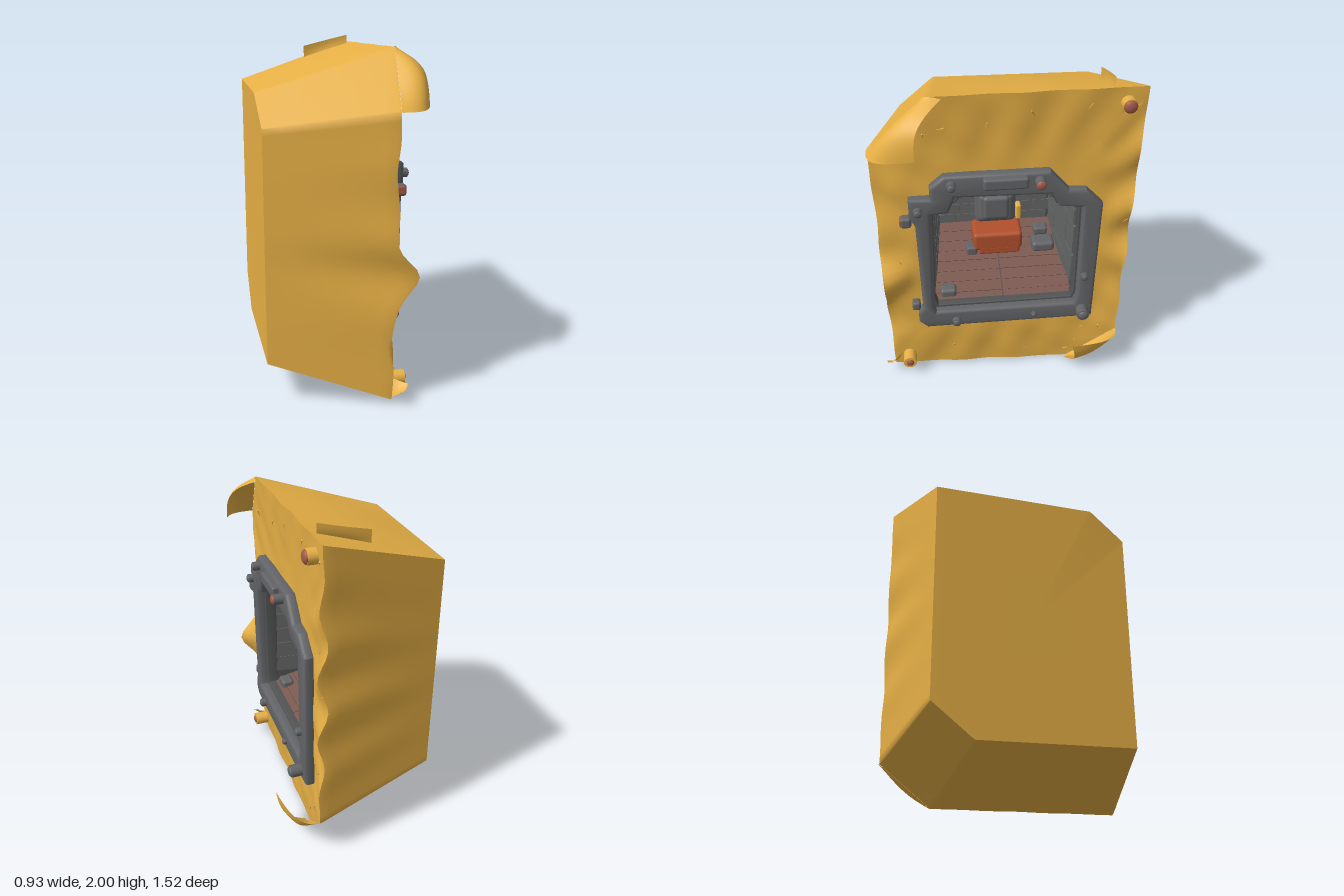
import * as THREE from 'three';
import { toCreasedNormals, mergeGeometries } from 'three/addons/utils/BufferGeometryUtils.js';
import { RoundedBoxGeometry } from 'three/addons/geometries/RoundedBoxGeometry.js';

const material = (name, color, side = THREE.FrontSide) => {
  const m = new THREE.MeshStandardMaterial({ color, side });
  m.name = name;
  return m;
};

// Works in a local frame: x across the window, y up, z out of the window.
export function createModel() {
  const yellow = material('yellow foil', 0xe8b146, THREE.DoubleSide);
  const steel = material('dark steel', 0x636467);
  const wall = material('wall grey', 0x656666, THREE.DoubleSide);
  const seam = material('seam grey', 0x525354, THREE.DoubleSide);
  const rust = material('rust', 0xa25a48);
  const planks = material('floor brown', 0x7a584f);
  const orange = material('seat orange', 0xb2502c);

  const root = new THREE.Group();
  root.name = 'wrappedCabin';
  const body = new THREE.Group();
  body.name = 'cabin';
  body.rotation.y = Math.PI / 2;
  root.add(body);

  let seed = 7;
  const rnd = () => (seed = (seed * 16807) % 2147483647) / 2147483647;
  const V = (x, y, z) => new THREE.Vector3(x, y, z);
  const lerp = THREE.MathUtils.lerp;
  const add = (name, geo, mat, x = 0, y = 0, z = 0) => {
    const m = new THREE.Mesh(geo, mat);
    m.name = name;
    m.position.set(x, y, z);
    body.add(m);
    return m;
  };
  const box = (name, mat, w, h, d, x, y, z, r = 0.015) =>
    add(name, new RoundedBoxGeometry(w, h, d, 2, r), mat, x, y, z);

  // Skin through rows of points, optionally closed around
  const loft = (rows, closed, crease) => {
    const n = rows[0].length, idx = [];
    for (let i = 0; i < rows.length - 1; i++) {
      for (let j = 0; j < (closed ? n : n - 1); j++) {
        const k = (j + 1) % n, a = i * n + j, b = i * n + k;
        idx.push(a, b, b + n, a, b + n, a + n);
      }
    }
    const g = new THREE.BufferGeometry().setFromPoints(rows.flat());
    g.setIndex(idx);
    return toCreasedNormals(g, crease);
  };

  // Distance ray from the window centre to a polygon outline
  const CY = 0.95;
  const rayHit = (poly, ang) => {
    const c = Math.cos(ang), s = Math.sin(ang);
    let best = 0;
    poly.forEach(([x1, y1], i) => {
      const [x2, y2] = poly[(i + 1) % poly.length];
      const ex = x2 - x1, ey = y2 - y1, det = ex * s - ey * c;
      if (Math.abs(det) < 1e-9) return;
      const t = (ex * (y1 - CY) - ey * x1) / det;
      const q = (c * (y1 - CY) - s * x1) / det;
      if (t > 0 && q >= -1e-6 && q <= 1 + 1e-6) best = Math.max(best, t);
    });
    return [c * best, CY + s * best];
  };

  // Foil shell: back panel, tapering sides, crumpled front with a window hole
  const front = [[-0.42, 1.955, 0.29], [-0.74, 1.64, 0.24], [-0.71, 0.025, 0.23],
    [0.42, 0, 0.25], [0.725, 0.25, 0.29], [0.76, 1.955, 0.28]];
  const back = [[-0.36, 1.72, -0.47], [-0.57, 1.55, -0.455], [-0.57, 0.24, -0.45],
    [0.33, 0.21, -0.45], [0.57, 0.4, -0.45], [0.59, 1.72, -0.45]];
  const hole = [[-0.5, 1.3], [-0.45, 1.2], [-0.45, 0.47], [0.5, 0.47], [0.5, 1.25], [0.42, 1.3],
    [0.34, 1.32], [0.25, 1.43], [-0.32, 1.43], [-0.38, 1.31]];
  const around = (loop) => {
    const out = [];
    loop.forEach((p, i) => {
      const q = loop[(i + 1) % loop.length];
      for (let k = 0; k < 36; k++) out.push(V(...p.map((c, a) => lerp(c, q[a], k / 36))));
    });
    return out;
  };
  const F = around(front), B = around(back);
  const bump = (y, c, w) => Math.exp(-(((y - c) / w) ** 2));
  const edge = F.map((p, j) => {
    const q = p.clone(), side = Math.floor(j / 36), k = Math.sin((j % 36) / 36 * Math.PI);
    if (side === 1) q.z += (0.14 * bump(p.y, 0.75, 0.12) + 0.012 * Math.sin(p.y * 13)) * Math.min(1, 2 * k);
    if (side === 4) q.z += (0.03 * Math.sin(p.y * 16 + 1) - 0.01) * k;
    if (side === 2 || side === 5) q.z += 0.006 * Math.sin(p.x * 17) * k;
    return q;
  });
  const rows = [B.map(() => V(0, CY, -0.45)), B];
  for (const s of [0.15, 0.3, 0.45, 0.6, 0.7, 0.8, 0.9, 0.97, 1]) {
    rows.push(B.map((b, j) => {
      const p = b.clone().lerp(edge[j], s);
      const w = Math.sin((j % 36) / 36 * Math.PI), k = w * s * s;
      const side = Math.floor(j / 36);
      if (side === 1 || side === 4) p.x *= 1 + 0.009 * k * Math.sin(p.y * 14 + p.z * 3);
      if (side === 5) p.y += 0.018 * Math.sin(Math.PI * s) * w;
      if (s === 1) p.x *= 0.995;
      return p;
    }));
  }
  for (const t of [0.04, 0.12, 0.25, 0.4, 0.55, 0.7, 0.85, 1]) {
    rows.push(edge.map((e) => {
      const [hx, hy] = rayHit(hole, Math.atan2(e.y - CY, e.x));
      const p = V(lerp(e.x, hx, t), lerp(e.y, hy, t), lerp(e.z, 0.265, Math.min(1, t * 1.6)));
      p.z += 0.008 * Math.sin(p.x * 19 + p.y * 7) * Math.sin(p.y * 15 - p.x * 4) * Math.sin(t * Math.PI);
      return p;
    }));
  }
  add('foilShell', loft(rows, true, 0.9), yellow);

  // Curled foil flaps on the two cut corners, and loose strips.
  // curl bends the whole sheet outward, belly bends the edge from b to c.
  const patch = (name, [a, b, c, d], curl, belly, n = 14) => {
    const grid = [];
    for (let i = 0; i <= n; i++) {
      const t = i / n, row = [], st = Math.sin(Math.PI * t);
      for (let j = 0; j <= n; j++) {
        const s = j / n, ss = Math.sin(Math.PI * s) * t;
        const p = a.clone().lerp(b, s).lerp(d.clone().lerp(c, s), t);
        const k = ss + 0.7 * st * (0.3 + s * (1 - s) * 2);
        p.add(V(curl.x * k, curl.y * k, curl.z * ss));
        row.push(p.addScaledVector(belly, st * s));
      }
      grid.push(row);
    }
    add(name, loft(grid, false, 1.2), yellow);
  };
  const flat = V(0, 0, 0);
  patch('upperFlap', [V(-0.42, 1.955, 0.29), V(-0.74, 1.64, 0.24), V(-0.48, 1.68, 0.46), V(-0.33, 1.95, 0.31)],
    V(-0.055, 0.03, 0.05), V(-0.07, -0.02, 0.04));
  patch('lowerFlap', [V(0.42, 0, 0.25), V(0.725, 0.25, 0.29), V(0.41, 0.28, 0.46), V(0.4, 0.01, 0.28)],
    V(0.03, -0.015, 0.045), V(0.08, 0, 0.03));
  patch('topStrip', [V(0.57, 1.845, -0.04), V(0.575, 1.94, 0.25), V(0.58, 2, 0.25), V(0.57, 1.93, -0.04)],
    V(0.008, 0, 0), flat);
  patch('cornerScrap', [V(-0.69, 0.03, 0.22), V(-0.66, 0.13, 0.25), V(-0.72, 0.12, 0.32), V(-0.76, 0.09, 0.27)],
    V(-0.01, -0.01, 0), flat, 5);

  // Small torn slivers near the edge of the front
  for (let i = 0; i < 22; i++) {
    const e = edge[Math.floor((i + rnd() * 0.6) / 22 * edge.length) % edge.length];
    const t = 0.04 + 0.16 * rnd();
    const m = add('foilSliver', new THREE.ConeGeometry(0.006, 0.045, 4), yellow,
      e.x * (1 - t), lerp(e.y, CY, t), lerp(e.z, 0.265, t * 1.6) + 0.002);
    m.rotation.set(0.2, 0, rnd() * 6);
  }

  // Window frame with a slimmer inner lip
  const outer = [[-0.53, 0.45], [-0.48, 0.4], [0.55, 0.4], [0.56, 1.25], [0.46, 1.355], [0.36, 1.36],
    [0.25, 1.49], [-0.34, 1.49], [-0.42, 1.42], [-0.42, 1.35], [-0.54, 1.35], [-0.54, 1.22], [-0.51, 1.17],
    [-0.5, 0.56], [-0.53, 0.52]];
  const inner = [[-0.42, 0.52], [0.43, 0.52], [0.445, 0.57], [0.445, 1.24], [0.31, 1.25], [0.26, 1.34],
    [-0.28, 1.35], [-0.32, 1.25], [-0.42, 1.24], [-0.435, 0.57]];
  const ring = (name, o, h, depth, bevel, mat, z) => {
    const vec = (l) => l.map((p) => new THREE.Vector2(...p));
    const s = new THREE.Shape(vec(o));
    s.holes.push(new THREE.Path(vec(h)));
    const g = new THREE.ExtrudeGeometry(s, { depth, bevelThickness: bevel, bevelSize: bevel, bevelOffset: -bevel, bevelSegments: 3 });
    add(name, toCreasedNormals(g, 0.6), mat, 0, 0, z);
  };
  ring('windowFrame', outer, inner, 0.03, 0.022, steel, 0.27);
  const shrink = (l, k) => l.map(([x, y]) => [x * k, CY + (y - CY) * k]);
  ring('windowLip', shrink(inner, 1.03), shrink(inner, 0.97), 0.06, 0.006, seam, 0.2);
  box('framePlate', steel, 0.25, 0.07, 0.07, 0, 1.445, 0.325);
  box('frameLatch', steel, 0.06, 0.065, 0.06, -0.56, 1.2, 0.295);
  box('latchTip', rust, 0.02, 0.05, 0.05, -0.587, 1.2, 0.295, 0.008);
  box('lowerLatch', steel, 0.05, 0.06, 0.06, -0.54, 0.57, 0.285);

  // Bolts: x, y, radius, tip depth, cap size, body and cap materials
  for (const [x, y, r, z, k, mat, cap] of [
    [0.65, 1.865, 0.042, 0.33, 0.9, yellow, rust], [-0.61, 0.11, 0.042, 0.325, 0.6, yellow, rust],
    [-0.3, 1.44, 0.027, 0.36, 0.85, steel, steel], [0.19, 1.44, 0.03, 0.375, 0.95, steel, rust],
    [-0.49, 1.28, 0.027, 0.35, 0.85, steel, steel],
    [0.48, 0.47, 0.038, 0.385, 0.85, steel, steel], [0.48, 0.74, 0.025, 0.345, 0.85, steel, steel],
    [-0.3, 0.45, 0.027, 0.35, 0.85, steel, steel], [0.18, 0.46, 0.018, 0.34, 0.85, steel, steel]]) {
    const g = new THREE.CylinderGeometry(r, r, z - 0.24, 14).rotateX(Math.PI / 2);
    add('bolt', g, mat, x, y, (z + 0.24) / 2);
    add('boltCap', new THREE.SphereGeometry(r * k, 14, 8).scale(1, 1, 0.5), cap, x, y, z);
  }

  // Room behind the window
  const BZ = -0.4;
  const rect = (w, y0, y1, z) => [V(-w, y1, z), V(-w, y0, z), V(w, y0, z), V(w, y1, z)];
  const mid = [0, 1, 2, 3].map(() => V(0, CY, BZ));
  add('roomShell', loft([rect(0.44, 0.5, 1.345, 0.26), rect(0.38, 0.67, 1.25, BZ), mid], true, 0.1), seam);

  // Uneven panels laid over a sloping plane
  const tiles = (name, mat, o, u, v, nu, nv, shift) => {
    const list = [], X = u.clone().normalize(), N = u.clone().cross(v).normalize(), Y = N.clone().cross(X);
    for (let r = 0; r < nv; r++) {
      for (let c = 0; c < nu; c++) {
        const w = u.length() / nu, g = new THREE.BoxGeometry(w * 0.985, v.length() / nv * 0.97, 0.014 + 0.006 * rnd());
        const p = o.clone().addScaledVector(u, (c + 0.5 + (r % 2 ? shift : -shift)) / nu).addScaledVector(v, (r + 0.5) / nv);
        list.push(g.applyMatrix4(new THREE.Matrix4().makeBasis(X, Y, N).setPosition(p)));
      }
    }
    add(name, mergeGeometries(list), mat);
  };
  tiles('backWallPanels', wall, V(-0.37, 0.67, BZ + 0.006), V(0.74, 0, 0), V(0, 0.57, 0), 6, 7, 0.12);
  for (const s of [-1, 1])
    tiles('sideWallPanels', wall, V(s * 0.377, 0.6, BZ + 0.02), V(s * 0.052, 0, 0.59), V(0, 0.65, 0), 4, 6, 0.06);
  tiles('ceilingPanels', wall, V(-0.34, 1.24, BZ + 0.01), V(0.68, 0, 0), V(0, 0.085, 0.6), 3, 4, 0);
  tiles('floorPlanks', planks, V(-0.43, 0.515, 0.25), V(0.86, 0, 0), V(0, 0.165, -0.64), 2, 8, 0);

  // Ceiling beams along the upper corners, braces and a lamp
  for (const s of [-1, 1]) {
    const beam = box('cornerBeam', steel, 0.07, 0.06, 0.58, s * 0.37, 1.235, -0.08);
    beam.rotation.set(-0.12, s * 0.09, 0);
    box('ceilingBrace', steel, 0.05, 0.1, 0.16, s * 0.27, 1.27, 0.1).rotation.z = s * 0.7;
  }
  box('ceilingLamp', wall, 0.3, 0.035, 0.08, 0, 1.3, 0.14);

  // Chair
  box('seat', orange, 0.32, 0.13, 0.2, 0, 0.71, -0.2, 0.025);
  box('seatFront', orange, 0.27, 0.06, 0.18, 0.01, 0.645, -0.19, 0.015);
  box('backrestTop', rust, 0.26, 0.1, 0.1, 0, 1.015, -0.31, 0.03);
  box('backrest', steel, 0.27, 0.27, 0.1, 0, 0.9, -0.29, 0.04);
  box('backCushion', wall, 0.23, 0.21, 0.08, 0, 0.9, -0.25, 0.035);
  box('backPad', steel, 0.17, 0.17, 0.06, 0, 0.91, -0.22, 0.025);
  box('sideHandle', yellow, 0.035, 0.11, 0.06, 0.145, 0.86, -0.24, 0.012);

  // Loose equipment on the floor
  box('crate', steel, 0.15, 0.075, 0.12, 0.3, 0.64, -0.16, 0.025);
  box('smallCrate', steel, 0.09, 0.055, 0.08, 0.29, 0.715, -0.22);
  box('canister', wall, 0.1, 0.07, 0.08, -0.34, 0.55, 0.16, 0.02);
  box('footBox', steel, 0.07, 0.06, 0.08, -0.17, 0.645, -0.14);
  return root;
}
